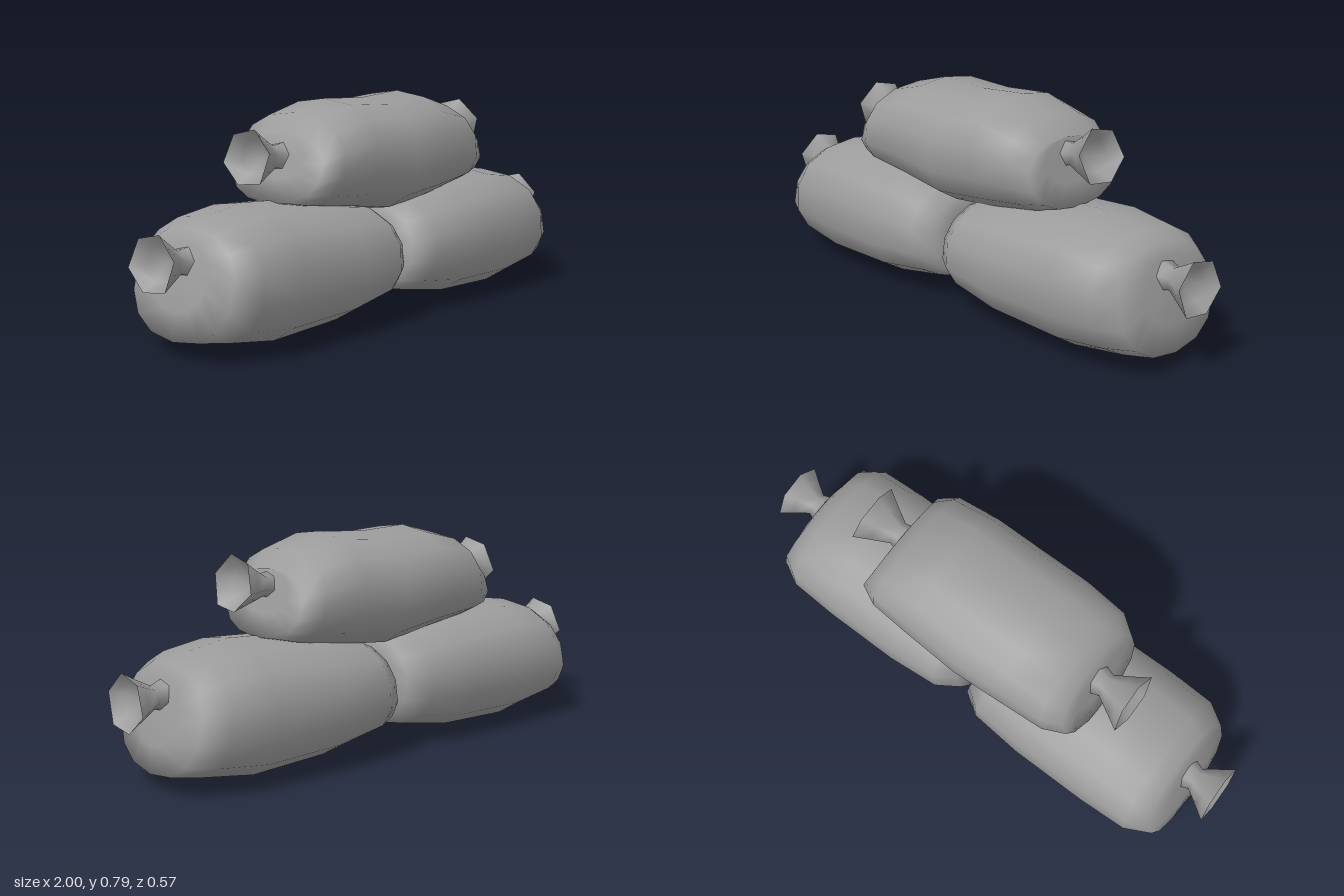
import * as THREE from 'three';

const canvas = new THREE.MeshStandardMaterial({ color: 0x9c9c9c });
canvas.name = 'grey canvas';

// Skin over rings of points running along x; single-point rings close the ends.
function loft(rings, flip) {
  const pos = [], index = [], starts = [];
  for (const ring of rings) {
    starts.push(pos.length / 3);
    for (const p of ring) pos.push(...p);
  }
  const n = Math.max(...rings.map(r => r.length));
  const tri = (a, b, c) => index.push(...(flip ? [a, c, b] : [a, b, c]));
  for (let i = 0; i < rings.length - 1; i++) {
    const at = (r, k) => starts[r] + (k % rings[r].length);
    for (let k = 0; k < n; k++) {
      if (rings[i + 1].length > 1) tri(at(i, k), at(i + 1, k), at(i + 1, k + 1));
      else tri(at(i, k), at(i + 1, 0), at(i, k + 1));
      if (rings[i].length > 1 && rings[i + 1].length > 1) tri(at(i, k), at(i + 1, k + 1), at(i, k + 1));
    }
  }
  const g = new THREE.BufferGeometry();
  g.setAttribute('position', new THREE.Float32BufferAttribute(pos, 3));
  g.setIndex(index);
  g.computeVertexNormals();
  return g;
}

function mesh(name, geometry) {
  const m = new THREE.Mesh(geometry, canvas);
  m.name = name;
  return m;
}

const soft = v => Math.sign(v) * Math.abs(v) ** 0.88;

// Bag body. Section: [x, bottom, top, half depth, shift of x at the top].
function bag(name, sections, side) {
  const N = 14;
  const rings = sections.map(([x, yb, yt, d, slant]) => {
    const ring = [];
    for (let k = 0; k < N; k++) {
      const a = (k / N) * Math.PI * 2 + Math.PI / 2;
      const s = soft(Math.sin(a)), c = soft(Math.cos(a));
      ring.push([side * (x + slant * s), (yb + yt) / 2 + s * (yt - yb) / 2, d * c]);
    }
    return ring;
  });
  const cap = ([x, yb, yt]) => [[side * x, (yb + yt) / 2, 0]];
  rings.unshift(cap(sections[0]));
  rings.push(cap(sections[sections.length - 1]));
  return mesh(name, loft(rings, side < 0));
}

// Gathered cloth end: pinched neck flaring to an uneven hexagonal rim with a hollow inside.
function tiedEnd(name, side, [x0, y0], [x1, y1], tilt) {
  const group = new THREE.Group();
  group.name = name;
  const ring = (t, r) => {
    const out = [];
    for (let k = 0; k < 6; k++) {
      const a = (12 + 60 * k) * Math.PI / 180;
      const rr = r * (0.99 + 0.08 * Math.sin(2.4 * k + 1));
      const s = Math.sin(a);
      const x = x0 + (x1 - x0) * t - tilt * s * t * t;
      out.push([side * x, y0 + (y1 - y0) * t + rr * s, rr * Math.cos(a)]);
    }
    return out;
  };
  group.add(mesh('neck', loft([ring(0, 0.055), ring(0.3, 0.042), ring(0.68, 0.075), ring(1, 0.104)], side < 0)));
  const bottom = [[side * (x0 + (x1 - x0) * 0.5), (y0 + y1) / 2, 0]];
  group.add(mesh('hollow', loft([ring(1, 0.104), ring(0.75, 0.065), bottom], side < 0)));
  return group;
}

export function createModel() {
  const model = new THREE.Group();
  model.name = 'sandbagPile';

  const lower = [
    [0.03, 0.14, 0.32, 0.13, 0.01],
    [0.022, 0.07, 0.385, 0.22, 0.022],
    [0.1, 0.052, 0.415, 0.275, 0.01],
    [0.3, 0.012, 0.445, 0.29, 0],
    [0.6, 0, 0.465, 0.29, 0],
    [0.78, 0.035, 0.44, 0.283, -0.02],
    [0.865, 0.055, 0.41, 0.235, -0.045],
    [0.875, 0.15, 0.37, 0.12, -0.03],
  ];
  const upper = [
    [-0.435, 0.53, 0.67, 0.12, 0.02],
    [-0.44, 0.445, 0.68, 0.21, 0.04],
    [-0.37, 0.425, 0.745, 0.25, 0.02],
    [-0.2, 0.4, 0.785, 0.262, 0],
    [0, 0.37, 0.777, 0.268, 0],
    [0.2, 0.39, 0.792, 0.262, 0],
    [0.37, 0.425, 0.745, 0.25, -0.02],
    [0.445, 0.45, 0.68, 0.21, -0.035],
    [0.435, 0.53, 0.68, 0.12, -0.02],
  ];

  // Two bags end to end, one resting across the joint
  model.add(bag('lowerLeftBag', lower, 1));
  model.add(bag('lowerRightBag', lower, -1));
  model.add(bag('upperBag', upper, 1));

  // Tied ends
  model.add(tiedEnd('lowerLeftTie', 1, [0.85, 0.31], [0.992, 0.303], 0.008));
  model.add(tiedEnd('lowerRightTie', -1, [0.85, 0.305], [0.99, 0.318], 0.01));
  model.add(tiedEnd('upperLeftTie', 1, [0.4, 0.62], [0.57, 0.645], 0.02));
  model.add(tiedEnd('upperRightTie', -1, [0.42, 0.6], [0.58, 0.61], 0.01));
  return model;
}
